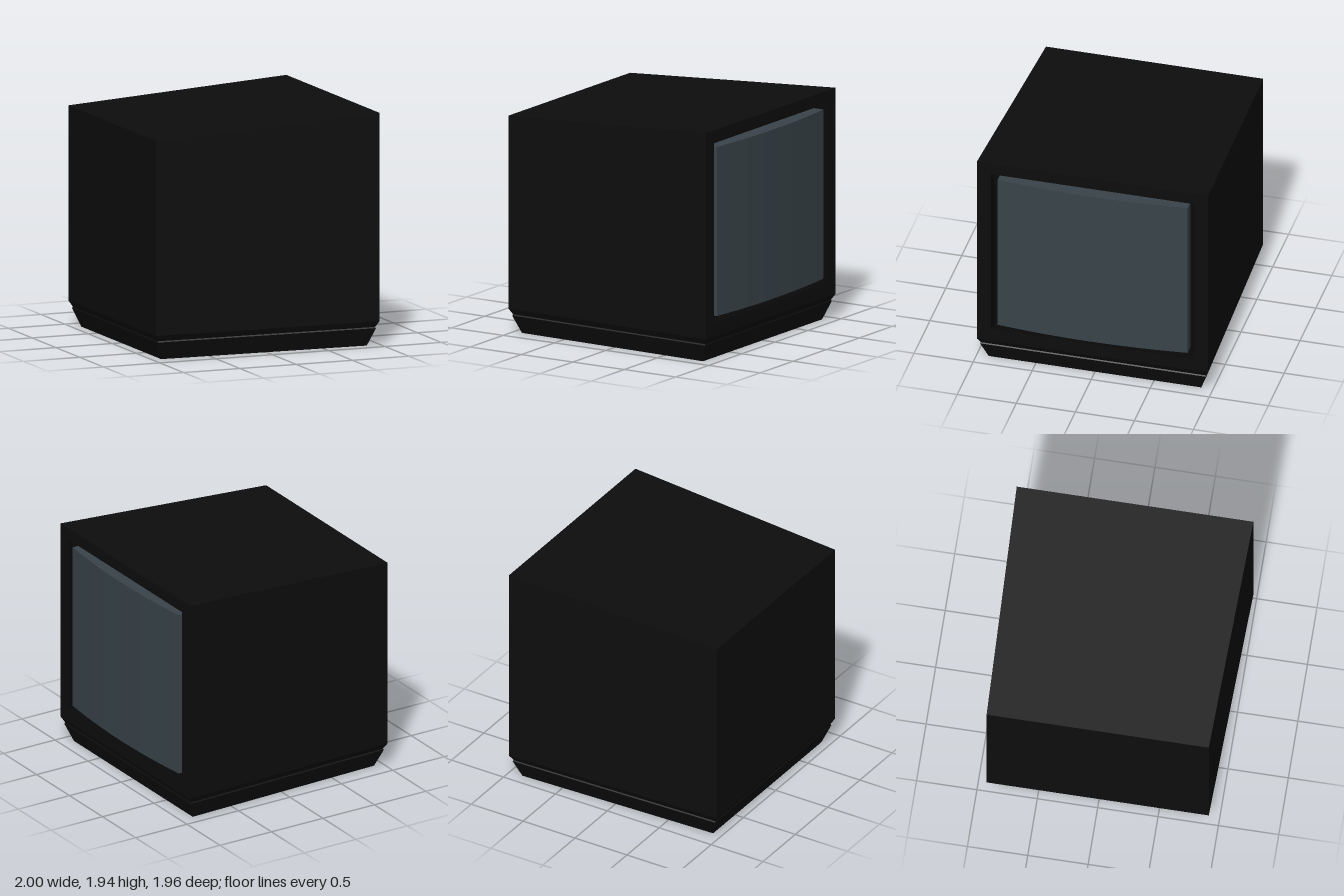
import * as THREE from 'three';

const shell = new THREE.MeshStandardMaterial({ color: 0x0d0d0d });
shell.name = 'black shell';
const dark = new THREE.MeshStandardMaterial({ color: 0x080808 });
dark.name = 'dark recess';
const glass = new THREE.MeshStandardMaterial({ color: 0x384349 });
glass.name = 'slate glass';

// Joins four-cornered loops into flat faces, with optional end caps
function loft(loops, capStart, capEnd) {
  const pos = [];
  const quad = (a, b, c, d) => pos.push(...a, ...b, ...c, ...a, ...c, ...d);
  for (let k = 0; k < loops.length - 1; k++) {
    const A = loops[k], B = loops[k + 1];
    for (let i = 0; i < 4; i++) {
      const j = (i + 1) % 4;
      quad(A[i], B[i], B[j], A[j]);
    }
  }
  if (capStart) quad(...loops[0]);
  if (capEnd) quad(...[...loops[loops.length - 1]].reverse());
  const g = new THREE.BufferGeometry();
  g.setAttribute('position', new THREE.Float32BufferAttribute(pos, 3));
  g.computeVertexNormals();
  return g;
}

// Upright rectangle facing +x
const upright = (x, y0, y1, z) => [[x, y0, z], [x, y0, -z], [x, y1, -z], [x, y1, z]];
// Level tapered outline, inset from the shell's footprint
const level = (y, inset) => {
  const x0 = -1 + inset, x1 = 0.96 - inset, zb = 0.92 - inset, zf = 0.98 - inset;
  return [[x0, y, zb], [x1, y, zf], [x1, y, -zf], [x0, y, -zb]];
};

export function createModel() {
  const group = new THREE.Group();
  group.name = 'monitor';
  const add = (name, geometry, material) => {
    const mesh = new THREE.Mesh(geometry, material);
    mesh.name = name;
    group.add(mesh);
  };

  // Casing: bezel frame, tapering sides and back
  const opening = upright(0.96, 0.32, 1.84, 0.86);
  add('casing', loft([opening, upright(0.96, 0.21, 1.94, 0.98), upright(-1, 0.21, 1.83, 0.92)], false, true), shell);

  // Sunken well around the screen
  add('screenRecess', loft([upright(0.86, 0.32, 1.84, 0.86), opening], true, false), dark);

  // Chamfered foot with a fine seam
  add('base', loft([level(0.21, 0), level(0.16, 0.028), level(0.15, 0.022), level(0, 0.08)], false, true), shell);

  // Screen bulging gently across its width
  const half = 0.805, steps = 12;
  const outline = new THREE.Shape();
  outline.moveTo(0.86, -half);
  for (let i = 0; i <= steps; i++) {
    const t = -1 + (2 * i) / steps;
    outline.lineTo(1 - 0.045 * t * t, t * half);
  }
  outline.lineTo(0.86, half);
  outline.closePath();
  const screen = new THREE.ExtrudeGeometry(outline, { depth: 1.42, bevelEnabled: false });
  screen.rotateX(-Math.PI / 2).translate(0, 0.37, 0);
  add('screen', screen, glass);

  return group;
}
